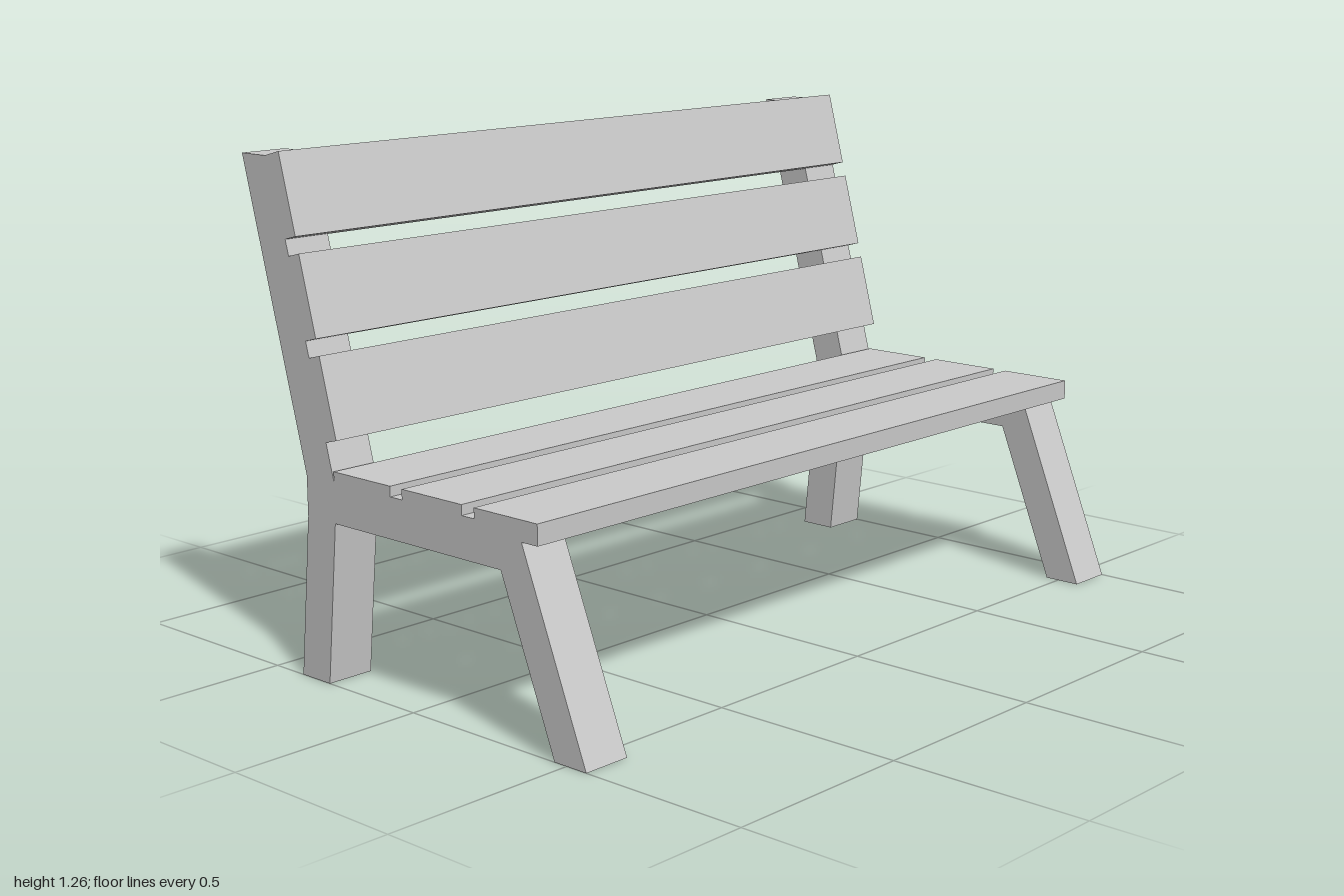
import * as THREE from 'three';

const LENGTH = 2, FRAME_WIDTH = 0.125, BOARD = 0.2, PITCH = 0.24, THICK = 0.05;
const material = new THREE.MeshStandardMaterial({ color: 0xcccccc, flatShading: true });

function addMesh(parent, name, geometry, x, y, z) {
  const mesh = new THREE.Mesh(geometry, material);
  mesh.name = name;
  mesh.position.set(x, y, z);
  parent.add(mesh);
}

export function createModel() {
  const bench = new THREE.Group();
  bench.name = 'bench';

  // Side frame profile as [z, y]: front leg, seat rail, rear leg and back post
  const profile = [
    [0.56, 0], [0.36, 0.5], [-0.26, 0.5], [-0.46, 1.243], [-0.56, 1.243],
    [-0.36, 0.5], [-0.36, 0.4], [-0.4, 0], [-0.3, 0], [-0.26, 0.4],
    [0.303, 0.4], [0.463, 0],
  ];
  const shape = new THREE.Shape(profile.map(([z, y]) => new THREE.Vector2(z, y)));
  const frame = new THREE.ExtrudeGeometry(shape, { depth: FRAME_WIDTH, bevelEnabled: false });
  frame.rotateY(-Math.PI / 2);
  addMesh(bench, 'leftFrame', frame, LENGTH / 2, 0, 0);
  addMesh(bench, 'rightFrame', frame, -LENGTH / 2 + FRAME_WIDTH, 0, 0);

  // Leaning backrest, pivoted at its lowest front edge
  const backrest = new THREE.Group();
  backrest.name = 'backrest';
  backrest.position.set(0, 0.6, -0.247);
  backrest.rotation.x = -Math.PI / 12;
  bench.add(backrest);

  // Three boards each for the seat and the backrest
  const seatBoard = new THREE.BoxGeometry(LENGTH, THICK, BOARD);
  const backBoard = new THREE.BoxGeometry(LENGTH, BOARD, THICK);
  for (let i = 0; i < 3; i++) {
    addMesh(bench, `seatBoard${i + 1}`, seatBoard, 0, 0.5, 0.32 - i * PITCH);
    addMesh(backrest, `backBoard${i + 1}`, backBoard, 0, BOARD / 2 + i * PITCH, -THICK / 2);
  }
  return bench;
}
